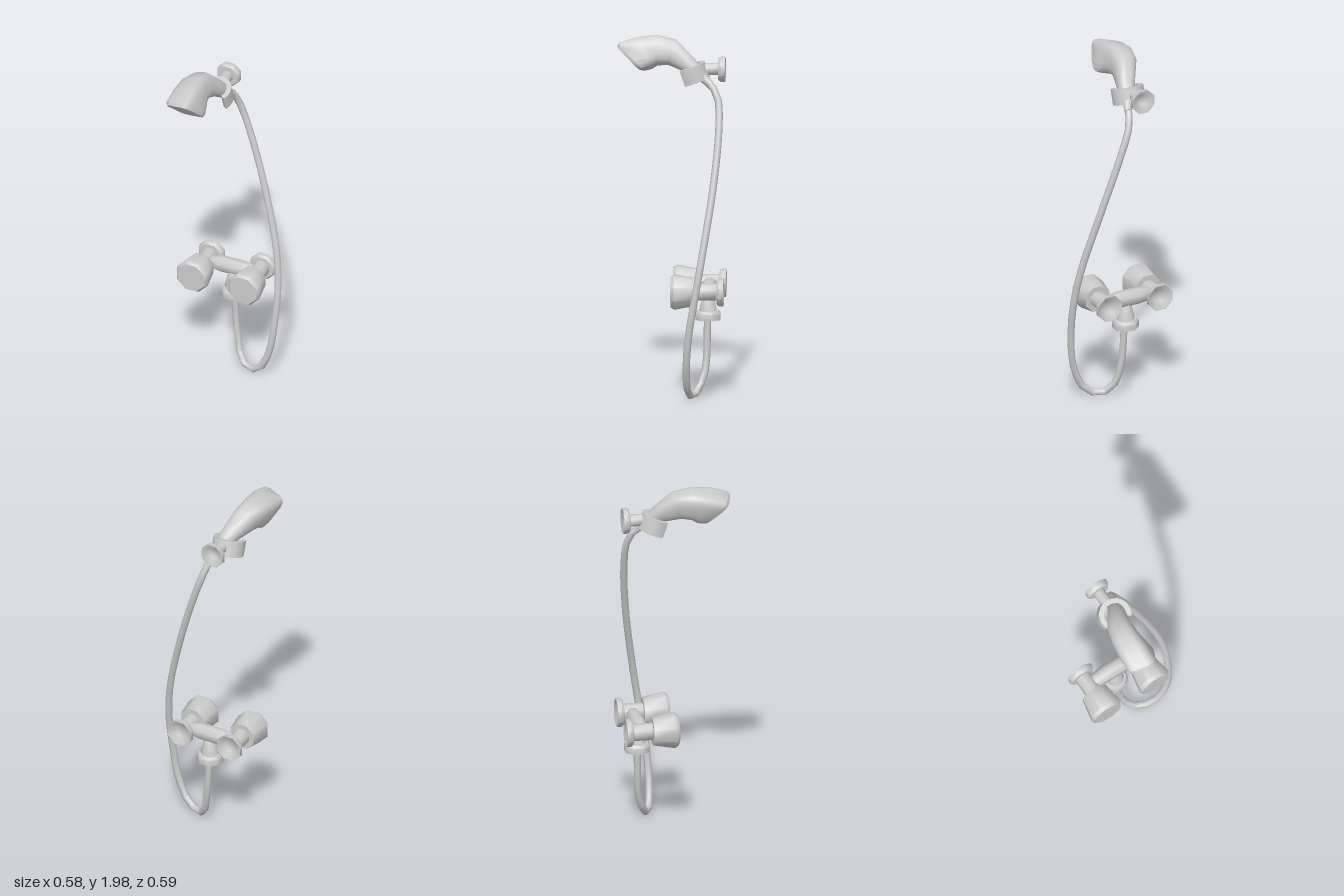
import * as THREE from 'three';
import { toCreasedNormals } from 'three/addons/utils/BufferGeometryUtils.js';

const material = new THREE.MeshStandardMaterial({ color: 0xcccccc, side: THREE.DoubleSide });

function part(name, geometry, parent, crease = 0.84) {
  const mesh = new THREE.Mesh(toCreasedNormals(geometry, crease), material);
  mesh.name = name;
  parent.add(mesh);
  return mesh;
}

// Eight-sided turned shape with its flats on the axes; profile holds [flat radius, height]
function turned(profile) {
  const k = 1 / Math.cos(Math.PI / 8);
  const points = profile.map(([r, y]) => new THREE.Vector2(r * k, y));
  return new THREE.LatheGeometry(points, 8, Math.PI / 8);
}

// Rounded-rectangle loft along +z; rows: [x, y, z, forward tilt, roll, half width, half height, squareness]
function loft(rows, n = 16) {
  const pos = [], idx = [];
  for (const [x, y, z, tilt, roll, w, h, power] of rows) {
    const t = THREE.MathUtils.degToRad(tilt), r = THREE.MathUtils.degToRad(roll);
    for (let j = 0; j < n; j++) {
      const a = ((j + 0.5) / n) * Math.PI * 2;
      const c = Math.cos(a), s = Math.sin(a);
      const u = w * Math.sign(c) * Math.abs(c) ** (2 / power);
      const v = h * Math.sign(s) * Math.abs(s) ** (2 / power);
      const across = u * Math.cos(r) - v * Math.sin(r);
      const up = u * Math.sin(r) + v * Math.cos(r);
      pos.push(x + across, y + up * Math.cos(t), z + up * Math.sin(t));
    }
  }
  const last = (rows.length - 1) * n, first = rows[0], end = rows[rows.length - 1];
  pos.push(first[0], first[1], first[2], end[0], end[1], end[2]);
  const cap = rows.length * n;
  for (let j = 0; j < n; j++) {
    const k = (j + 1) % n;
    for (let i = 0; i < last; i += n) {
      idx.push(i + j, i + k, i + n + k, i + j, i + n + k, i + n + j);
    }
    idx.push(cap, k, j, cap + 1, last + j, last + k);
  }
  const g = new THREE.BufferGeometry();
  g.setAttribute('position', new THREE.Float32BufferAttribute(pos, 3));
  g.setIndex(idx);
  return g;
}

// Wall flange, hollow at the back, with its stem running forward
function wallStem(flange, stem, front) {
  return turned([
    [0, -0.262], [stem * 0.8, -0.265], [flange * 0.93, -0.3], [flange, -0.3],
    [flange, -0.275], [flange * 0.87, -0.262], [stem, -0.262], [stem, front], [0, front],
  ]).rotateX(Math.PI / 2);
}

export function createModel() {
  const model = new THREE.Group();
  model.name = 'showerSet';

  // Mixer tap: two handles on wall stems joined by a bar
  const tap = new THREE.Group();
  tap.name = 'mixerTap';
  model.add(tap);
  for (const [side, x] of [['right', -0.195], ['left', 0.117]]) {
    part(side + 'WallStem', wallStem(0.073, 0.044, -0.14), tap).position.set(x, 0.605, 0);
    const knob = turned([
      [0, -0.152], [0.072, -0.152], [0.093, -0.03], [0.08, -0.01], [0, -0.01],
    ]).rotateX(Math.PI / 2);
    part(side + 'Knob', knob, tap).position.set(x, 0.605, 0);
  }
  const bar = turned([
    [0, -0.131], [0.022, -0.131], [0.035, -0.12], [0.043, -0.06],
    [0.043, 0.06], [0.035, 0.12], [0.022, 0.131], [0, 0.131],
  ]).rotateZ(-Math.PI / 2);
  part('crossBar', bar, tap).position.set(-0.038, 0.605, -0.213);

  // Outlet under the bar with its collar
  const outlet = turned([
    [0, 0.43], [0.068, 0.43], [0.068, 0.465], [0.058, 0.48],
    [0.048, 0.48], [0.028, 0.575], [0, 0.6],
  ]);
  part('outlet', outlet, tap).position.set(-0.025, 0, -0.207);

  // Hose hanging in a loop from outlet to handset
  const path = new THREE.CatmullRomCurve3([
    [-0.018, 0.45, -0.205], [-0.012, 0.3, -0.203], [0.005, 0.16, -0.195], [0.035, 0.065, -0.165],
    [0.095, 0.022, -0.13], [0.18, 0.065, -0.105], [0.24, 0.2, -0.1], [0.264, 0.39, -0.115],
    [0.267, 0.6, -0.15], [0.24, 0.81, -0.185], [0.137, 1.19, -0.243], [0.037, 1.5, -0.27],
    [-0.018, 1.66, -0.262], [-0.035, 1.725, -0.228], [-0.05, 1.76, -0.185],
  ].map((p) => new THREE.Vector3(...p)));
  part('hose', new THREE.TubeGeometry(path, 32, 0.02, 8), model);

  // Handset: tapered handle bending into a rolled, squarish head
  part('handset', loft([
    [-0.035, 1.737, -0.218, -42, 0, 0.021, 0.021, 2],
    [-0.052, 1.767, -0.18, -42, 0, 0.027, 0.027, 2],
    [-0.062, 1.785, -0.155, -42, 2, 0.04, 0.04, 2],
    [-0.09, 1.84, -0.09, -38, 6, 0.054, 0.05, 2.4],
    [-0.126, 1.897, -0.005, -18, 12, 0.069, 0.074, 2.8],
    [-0.136, 1.905, 0.075, 0, 16, 0.077, 0.083, 3.2],
    [-0.132, 1.89, 0.145, 25, 18, 0.084, 0.093, 3.8],
    [-0.126, 1.871, 0.207, 45, 19, 0.086, 0.102, 4.5],
    [-0.126, 1.86, 0.222, 46, 19, 0.078, 0.094, 4.5],
  ]), model, 0.7);

  // Wall holder with an open clip around the handle
  const holder = new THREE.Group();
  holder.name = 'holder';
  model.add(holder);
  part('holderStem', wallStem(0.066, 0.031, -0.175), holder).position.set(-0.09, 1.81, 0);
  const from = -0.6, to = Math.PI + 0.5;
  const ring = new THREE.Shape();
  ring.absarc(0, 0, 0.091, from, to, false);
  ring.absarc(0, 0, 0.063, to, from, true);
  const clip = new THREE.ExtrudeGeometry(ring, { depth: 0.09, bevelEnabled: false, curveSegments: 7 });
  clip.translate(0, 0, -0.045).rotateX(-Math.PI / 2);
  const clipMesh = part('clip', clip, holder);
  clipMesh.position.set(-0.09, 1.782, -0.115);
  clipMesh.rotation.x = 0.33;

  return model;
}
